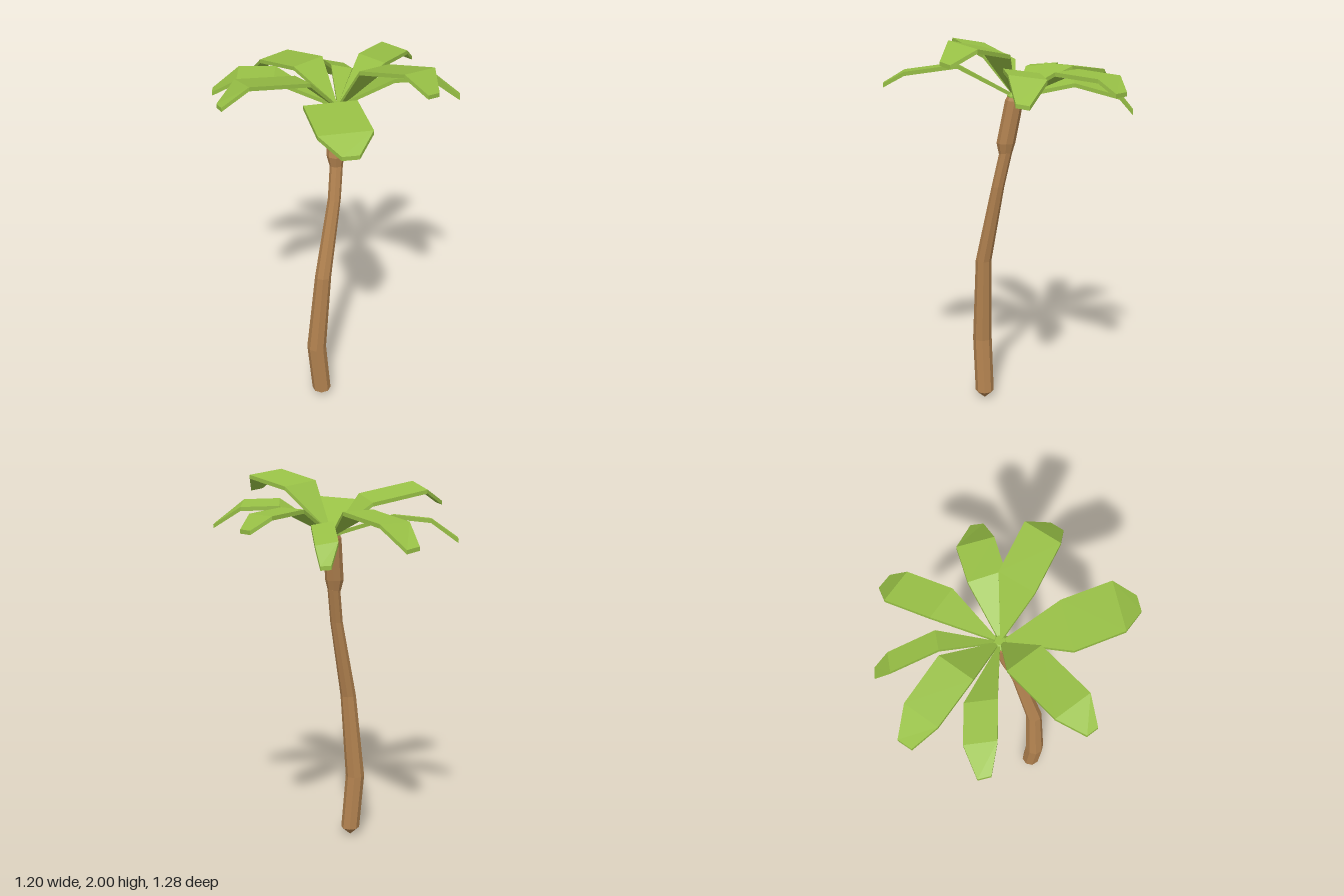
import * as THREE from 'three';

const bark = new THREE.MeshStandardMaterial({ color: 0xb38350, flatShading: true });
bark.name = 'bark brown';
const green = new THREE.MeshStandardMaterial({ color: 0x97bf45, flatShading: true });
green.name = 'leaf green';

// Skins a list of equal-length rings (counter-clockwise seen from the far end) and caps both ends
function loft(rings, material, name) {
  const n = rings[0].length, index = [];
  for (let i = 0; i < rings.length - 1; i++) {
    for (let j = 0; j < n; j++) {
      const k = (j + 1) % n, a = i * n + j, b = i * n + k;
      index.push(a, b, b + n, a, b + n, a + n);
    }
  }
  const last = (rings.length - 1) * n;
  for (let j = 1; j < n - 1; j++) {
    index.push(0, j + 1, j, last, last + j, last + j + 1);
  }
  const geometry = new THREE.BufferGeometry();
  geometry.setAttribute('position', new THREE.Float32BufferAttribute(rings.flat(2), 3));
  geometry.setIndex(index);
  const flat = geometry.toNonIndexed();
  flat.computeVertexNormals();
  const mesh = new THREE.Mesh(flat, material);
  mesh.name = name;
  return mesh;
}

// Eight-sided horizontal ring
function ring([x, y, z, r]) {
  return Array.from({ length: 8 }, (_, i) => {
    const t = (i + 0.5) * Math.PI / 4;
    return [x + r * Math.cos(t), y, z - r * Math.sin(t)];
  });
}

// Frond: pinched root, then left and right edge points at two bends and the tip
const CROWN = [0.025, 1.695, -0.003];
const THICK = 0.02;
function frond(pairs, i) {
  const [a, b] = pairs[0];
  const root = (p) => CROWN.map((c, k) => c + (p[k] - c) * 0.06);
  const rings = [[root(a), root(b)], ...pairs].map(([l, r]) => [
    r, [r[0], r[1] - THICK, r[2]], [l[0], l[1] - THICK, l[2]], l,
  ]);
  return loft(rings, green, 'frond' + (i + 1));
}

export function createModel() {
  const model = new THREE.Group();
  model.name = 'palmTree';

  // Bent trunk: x, y, z, radius
  const trunk = [
    [-0.12, 0, 0.12, 0.004], [-0.12, 0.04, 0.12, 0.05], [-0.147, 0.34, 0.12, 0.051],
    [-0.108, 0.8, 0.125, 0.042], [-0.025, 1.22, 0.075, 0.033], [0.0, 1.4, 0.042, 0.033],
  ];
  model.add(loft(trunk.map(ring), bark, 'trunk'));

  // Thicker sheath under the crown
  const sheath = [
    [-0.003, 1.395, 0.043, 0.034], [-0.002, 1.45, 0.04, 0.048],
    [0.021, 1.67, 0.003, 0.047], [0.023, 1.69, 0, 0.04],
  ];
  model.add(loft(sheath.map(ring), bark, 'crownSheath'));

  // Small bud where the fronds meet
  const bud = [[0.024, 1.685, -0.002, 0.043], [0.024, 1.694, -0.002, 0.043], [0.025, 1.71, -0.003, 0.025]];
  model.add(loft(bud.map(ring), green, 'bud'));

  // Eight drooping fronds
  const fronds = [
    [[[-0.115, 1.83, -0.23], [0.065, 1.83, -0.3]],
      [[-0.21, 1.79, -0.47], [-0.035, 1.79, -0.54]],
      [[-0.205, 1.69, -0.61], [-0.13, 1.68, -0.64]]],
    [[[0.105, 1.785, -0.28], [0.205, 1.765, -0.24]],
      [[0.155, 1.715, -0.51], [0.255, 1.695, -0.47]],
      [[0.21, 1.615, -0.575], [0.255, 1.61, -0.55]]],
    [[[0.24, 1.84, -0.24], [0.31, 1.84, -0.08]],
      [[0.43, 1.825, -0.37], [0.5, 1.825, -0.21]],
      [[0.53, 1.76, -0.35], [0.56, 1.76, -0.275]]],
    [[[0.3, 1.84, -0.005], [0.25, 1.865, 0.165]],
      [[0.485, 1.835, 0.045], [0.425, 1.86, 0.215]],
      [[0.595, 1.74, 0.185], [0.565, 1.75, 0.24]]],
    [[[0.235, 1.925, 0.12], [0.05, 1.95, 0.195]],
      [[0.365, 1.975, 0.34], [0.175, 2.0, 0.41]],
      [[0.33, 1.905, 0.46], [0.26, 1.915, 0.485]]],
    [[[-0.005, 1.86, 0.3], [-0.24, 1.84, 0.22]],
      [[-0.04, 1.835, 0.56], [-0.275, 1.815, 0.48]],
      [[-0.14, 1.77, 0.637], [-0.215, 1.765, 0.612]]],
    [[[-0.155, 1.885, 0.1], [-0.165, 1.85, -0.085]],
      [[-0.47, 1.94, 0.145], [-0.48, 1.905, -0.04]],
      [[-0.595, 1.845, 0.11], [-0.6, 1.84, 0.05]]],
    [[[-0.24, 1.8, -0.18], [-0.18, 1.81, -0.32]],
      [[-0.4, 1.785, -0.28], [-0.34, 1.795, -0.42]],
      [[-0.5, 1.7, -0.375], [-0.48, 1.695, -0.435]]],
  ];
  fronds.forEach((pairs, i) => model.add(frond(pairs, i)));

  return model;
}
